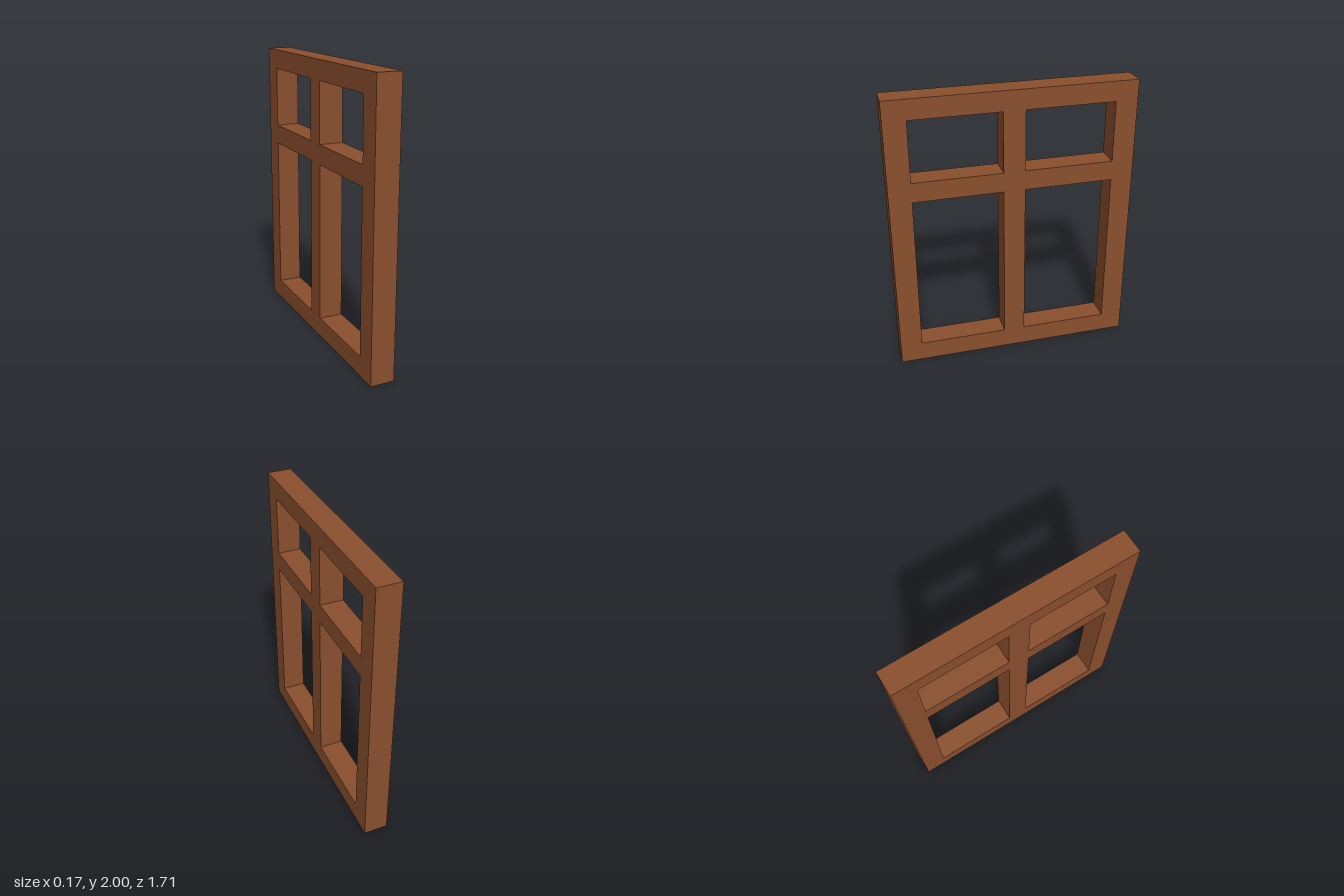
import * as THREE from 'three';

const HALF_WIDTH = 0.853, HEIGHT = 2, DEPTH = 0.17;

// Adds a closed rectangle to a shape or path
function rectangle(path, x0, y0, x1, y1) {
  path.moveTo(x0, y0);
  path.lineTo(x1, y0);
  path.lineTo(x1, y1);
  path.lineTo(x0, y1);
  path.closePath();
  return path;
}

export function createModel() {
  const group = new THREE.Group();
  group.name = 'window';
  const wood = new THREE.MeshStandardMaterial({ color: 0x8b4f2d });
  wood.name = 'brown wood';

  // Outer frame outline with four openings, leaving the post and crossbar
  const outline = rectangle(new THREE.Shape(), -HALF_WIDTH, 0, HALF_WIDTH, HEIGHT);
  for (const [bottom, top] of [[0.142, 1.29], [1.43, 1.86]]) {
    for (const [a, b] of [[-0.698, -0.076], [0.076, 0.698]]) {
      outline.holes.push(rectangle(new THREE.Path(), a, bottom, b, top));
    }
  }

  // Extruded through its thickness and turned so the panes face sideways
  const geometry = new THREE.ExtrudeGeometry(outline, { depth: DEPTH, bevelEnabled: false });
  geometry.translate(0, 0, -DEPTH / 2);
  geometry.rotateY(Math.PI / 2);

  const frame = new THREE.Mesh(geometry, wood);
  frame.name = 'windowFrame';
  group.add(frame);
  return group;
}
